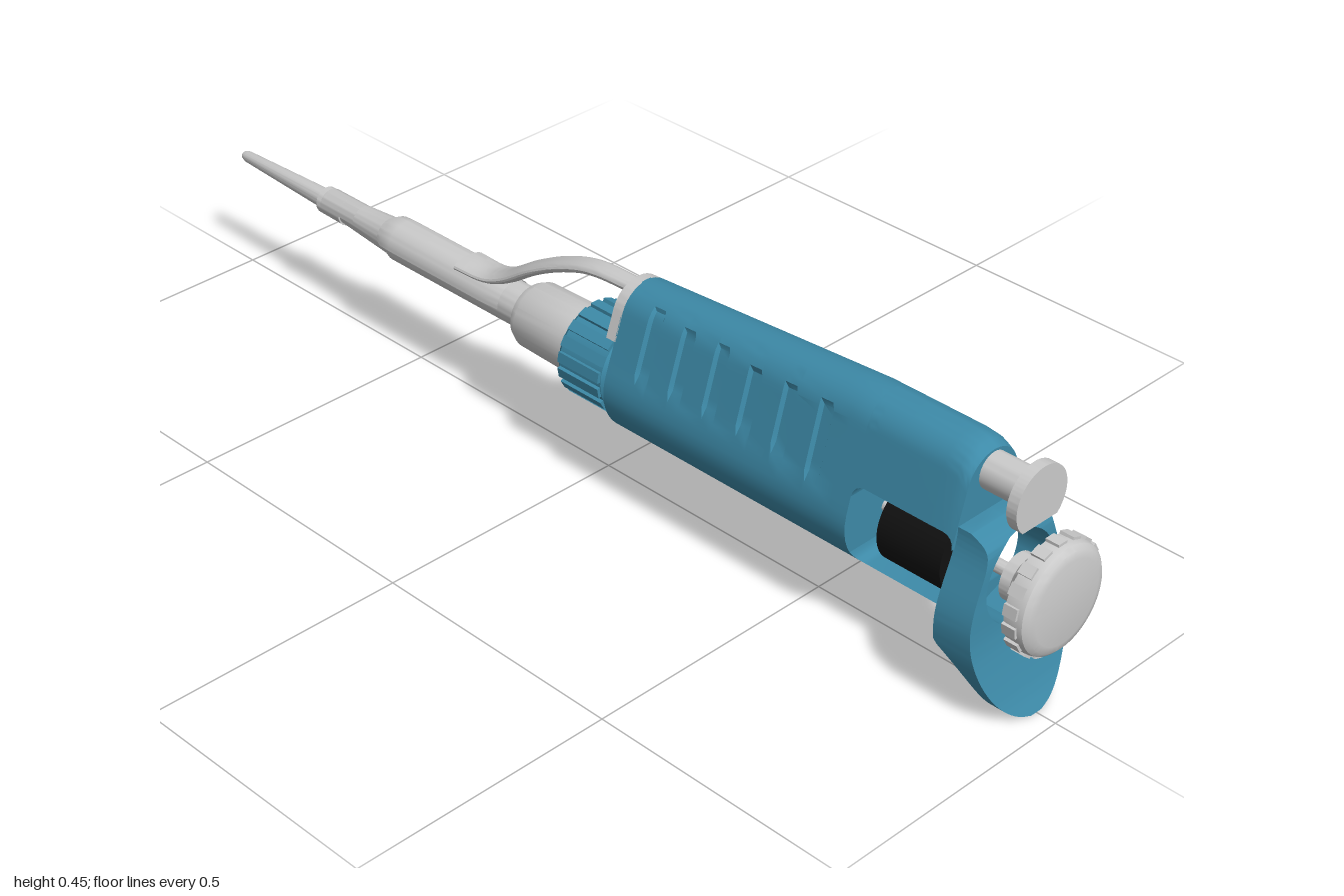
import * as THREE from 'three';
import { toCreasedNormals } from 'three/addons/utils/BufferGeometryUtils.js';

const AXIS = 0.233; // height of the plunger / nozzle axis
const material = (color) => new THREE.MeshStandardMaterial({ color, side: THREE.DoubleSide });
const lerp = THREE.MathUtils.lerp;

// Skin a list of closed rings of [x, y, z] points, capped at both ends
function loft(rings) {
  const n = rings[0].length, pos = rings.flat(2), index = [];
  const addCentre = (ring) => {
    const c = [0, 1, 2].map((k) => ring.reduce((s, p) => s + p[k], 0) / n);
    pos.push(...c);
    return pos.length / 3 - 1;
  };
  for (let i = 0; i < rings.length - 1; i++) {
    for (let j = 0; j < n; j++) {
      const k = (j + 1) % n, a = i * n + j, b = i * n + k;
      index.push(a, b, b + n, a, b + n, a + n);
    }
  }
  const first = addCentre(rings[0]), last = addCentre(rings[rings.length - 1]);
  const top = (rings.length - 1) * n;
  for (let j = 0; j < n; j++) {
    const k = (j + 1) % n;
    index.push(first, k, j, last, top + j, top + k);
  }
  const g = new THREE.BufferGeometry();
  g.setAttribute('position', new THREE.Float32BufferAttribute(pos, 3));
  g.setIndex(index);
  return toCreasedNormals(g, 0.5);
}

// Turned part along z from [radius, z] pairs, z ascending
function turned(profile, segments = 40, start = 0, sweep = Math.PI * 2) {
  const pts = profile.map(([r, z]) => new THREE.Vector2(r, z));
  const g = new THREE.LatheGeometry(pts, segments, start, sweep);
  g.rotateX(Math.PI / 2).translate(0, AXIS, 0);
  return toCreasedNormals(g, 0.5);
}

// Handle section: a large lower circle and a small upper one joined by tangents
const LOW = 0.235, R1 = 0.1, R2 = 0.06;
const handleTop = (z) => {
  const t = z > 0.6 ? 0.453 : lerp(0.418, 0.453, (z - 0.09) / 0.51);
  return z > 0.8 ? t - 10 * (z - 0.8) ** 2 : t;
};
function halfWidth(y, top) {
  const high = top - R2, s = (R1 - R2) / (high - LOW), c = Math.sqrt(1 - s * s);
  const ya = LOW + R1 * s, yb = high + R2 * s;
  if (y < ya) return Math.sqrt(Math.max(0, R1 ** 2 - (y - LOW) ** 2));
  if (y > yb) return Math.sqrt(Math.max(0, R2 ** 2 - (y - high) ** 2));
  return lerp(R1 * c, R2 * c, (y - ya) / (yb - ya));
}
// Ring of the handle between two heights; groove is the inset on the upper flanks
function section(z, y0, y1, groove = 0, rows = 28) {
  const right = [], left = [], top = handleTop(z);
  for (let i = 0; i <= rows; i++) {
    const y = lerp(y0, y1, (1 - Math.cos((Math.PI * i) / rows)) / 2);
    const x = Math.max(0.0005, halfWidth(y, top) - (y > 0.29 && y < 0.405 ? groove : 0));
    right.push([x, y, z]);
    left.unshift([-x, y, z]);
  }
  return [...right, ...left];
}

export function createModel() {
  const model = new THREE.Group();
  const teal = material(0x3d8aa8), grey = material(0xcccccc), black = material(0x111111);
  const add = (name, geometry, mat, parent = model) => {
    const mesh = new THREE.Mesh(geometry, mat);
    mesh.name = name;
    parent.add(mesh);
    return mesh;
  };

  // Handle with finger grooves
  const stations = [[0.09, 0]];
  for (let i = 0; i < 6; i++) {
    const z = 0.15 + i * 0.077;
    stations.push([z, 0], [z + 0.005, 0.007], [z + 0.026, 0.007], [z + 0.031, 0]);
  }
  stations.push([0.6, 0], [0.635, 0]);
  add('handle', loft(stations.map(([z, d]) => section(z, 0.135, handleTop(z), d))), teal);

  // Bridges above and below the display window, with rounded window corners
  const Z0 = 0.635, Z1 = 0.84, F = 0.022;
  const fillet = (z) => {
    const d = Math.min(z - Z0, Z1 - z);
    return d >= F ? 0 : F - Math.sqrt(F * F - (F - d) ** 2);
  };
  const windowZ = [0, 0.002, 0.007, 0.014, F].flatMap((d) => [Z0 + d, Z1 - d]).concat(0.79).sort((a, b) => a - b);
  add('windowTop', loft(windowZ.map((z) => section(z, 0.313 - fillet(z), handleTop(z)))), teal);
  add('windowBottom', loft(windowZ.map((z) => section(z, 0.135, 0.16 + fillet(z)))), teal);

  // Display drum and plunger rod
  add('displayDrum', turned([[0, 0.68], [0.075, 0.68], [0.075, 0.81], [0, 0.81]]), black);
  add('plungerRod', turned([[0.012, 0.62], [0.012, 0.93]], 16), grey);

  // Finger rest: two mirrored halves around the plunger opening, curving forward at the foot
  const front = new THREE.SplineCurve([[0, 0.962], [0.05, 0.94], [0.14, 0.915], [0.22, 0.908], [0.29, 0.905], [0.315, 0.895], [0.33, 0.865]]
    .map((p) => new THREE.Vector2(...p)));
  const back = (y) => (y > 0.135 ? 0.838 : lerp(0.92, 0.838, Math.pow(y / 0.135, 2.6)));
  const restWidth = (y) => {
    if (y < 0.17) return Math.max(0.012, 0.117 * Math.sqrt(1 - ((0.17 - y) / 0.17) ** 2));
    return 0.096 + 0.021 * Math.cos(((y - 0.17) / 0.16) * Math.PI);
  };
  const opening = (y) => Math.sqrt(Math.max(0, 0.08 ** 2 - (y - 0.235) ** 2));
  for (const side of [1, -1]) {
    const rings = [];
    for (let i = 0; i <= 60; i++) {
      const p = front.getPoint(i / 60), y = p.x, f = p.y;
      const w = restWidth(y), h = Math.min(opening(y), w - 0.012), b = back(y);
      const ring = [[h, f], [w, f], [w, b], [h, b]].map(([x, z]) => [side * x, y, z]);
      rings.push(side > 0 ? ring : ring.reverse());
    }
    add(side > 0 ? 'fingerRestLeft' : 'fingerRestRight', loft(rings), teal);
  }

  // Plunger knob with ribbed rim
  const knob = new THREE.Group();
  knob.name = 'plungerKnob';
  model.add(knob);
  add('knobBody', turned([[0, 0.9], [0.042, 0.9], [0.042, 0.92], [0.055, 0.935], [0.085, 0.952], [0.098, 0.956],
    [0.099, 0.98], [0.096, 0.99], [0.088, 0.997], [0.075, 1], [0, 1]], 56), grey, knob);
  const ribs = (count, radius, size, z, mat, parent, name) => {
    for (let i = 0; i < count; i++) {
      const a = ((i + 0.5) / count) * Math.PI * 2;
      const rib = add(name, new THREE.BoxGeometry(...size), mat, parent);
      rib.position.set(radius * Math.cos(a), AXIS + radius * Math.sin(a), z);
      rib.rotation.z = a;
    }
  };
  ribs(18, 0.098, [0.01, 0.02, 0.026], 0.969, grey, knob, 'knobRib');

  // Tip-release button: a disc with a flat lower edge on a round stem
  const disc = new THREE.Shape();
  disc.absarc(0, 0.392, 0.06, -0.82, Math.PI + 0.82, false);
  const discGeometry = new THREE.ExtrudeGeometry(disc, { depth: 0.02, bevelEnabled: false, curveSegments: 40 });
  add('releaseButton', toCreasedNormals(discGeometry.translate(0, 0, 0.916), 0.5), grey);
  const stem = turned([[0.033, 0.78], [0.033, 0.918]], 28);
  add('releaseStem', stem.translate(0, 0.4 - AXIS, 0), grey);

  // Adjusting collar
  const collar = new THREE.Group();
  collar.name = 'adjustingCollar';
  model.add(collar);
  add('collarBody', turned([[0, -0.042], [0.078, -0.042], [0.083, -0.035], [0.083, 0.065], [0.078, 0.072], [0, 0.072]]), teal, collar);
  ribs(18, 0.083, [0.012, 0.019, 0.098], 0.015, teal, collar, 'collarRib');

  // Nozzle, shaft and disposable tip
  add('collarNeck', turned([[0.065, 0.06], [0.065, 0.1]]), grey);
  add('nozzle', turned([[0.04, -0.192], [0.055, -0.19], [0.062, -0.175], [0.065, -0.04]]), grey);
  add('shaft', turned([[0, -0.74], [0.02, -0.74], [0.024, -0.69], [0.034, -0.555], [0.039, -0.54], [0.039, -0.18]]), grey);
  add('tip', turned([[0, -1], [0.008, -1], [0.011, -0.99], [0.02, -0.73], [0, -0.73]], 24), grey);

  // Ejector: half sleeve over the shaft, end ring, bridging arm and mounting plate
  add('ejectorSleeve', turned([[0.024, -0.75], [0.027, -0.74], [0.027, -0.585], [0.042, -0.555], [0.043, -0.53],
    [0.043, -0.28], [0.04, -0.24]], 24, Math.PI / 2, Math.PI), grey);
  add('ejectorRing', turned([[0.018, -0.758], [0.026, -0.755], [0.027, -0.69], [0.02, -0.69]], 28), grey);
  const path = new THREE.CatmullRomCurve3([[0.265, -0.36], [0.268, -0.29], [0.285, -0.245], [0.33, -0.175],
    [0.368, -0.1], [0.39, -0.03], [0.396, 0.08]].map(([y, z]) => new THREE.Vector3(0, y, z)));
  const armRings = [];
  for (let i = 0; i <= 36; i++) {
    const t = i / 36, p = path.getPoint(t), d = path.getTangent(t), w = lerp(0.035, 0.019, t), ring = [];
    for (let j = 0; j < 20; j++) {
      const a = (j / 20) * Math.PI * 2, v = 0.012 * Math.sin(a);
      ring.push([w * Math.cos(a), p.y + v * d.z, p.z - v * d.y]);
    }
    armRings.push(ring);
  }
  add('ejectorArm', loft(armRings), grey);
  add('ejectorPlate', loft([0.07, 0.092].map((z) => section(z, 0.327, handleTop(z) - 0.001))), grey);

  return model;
}
